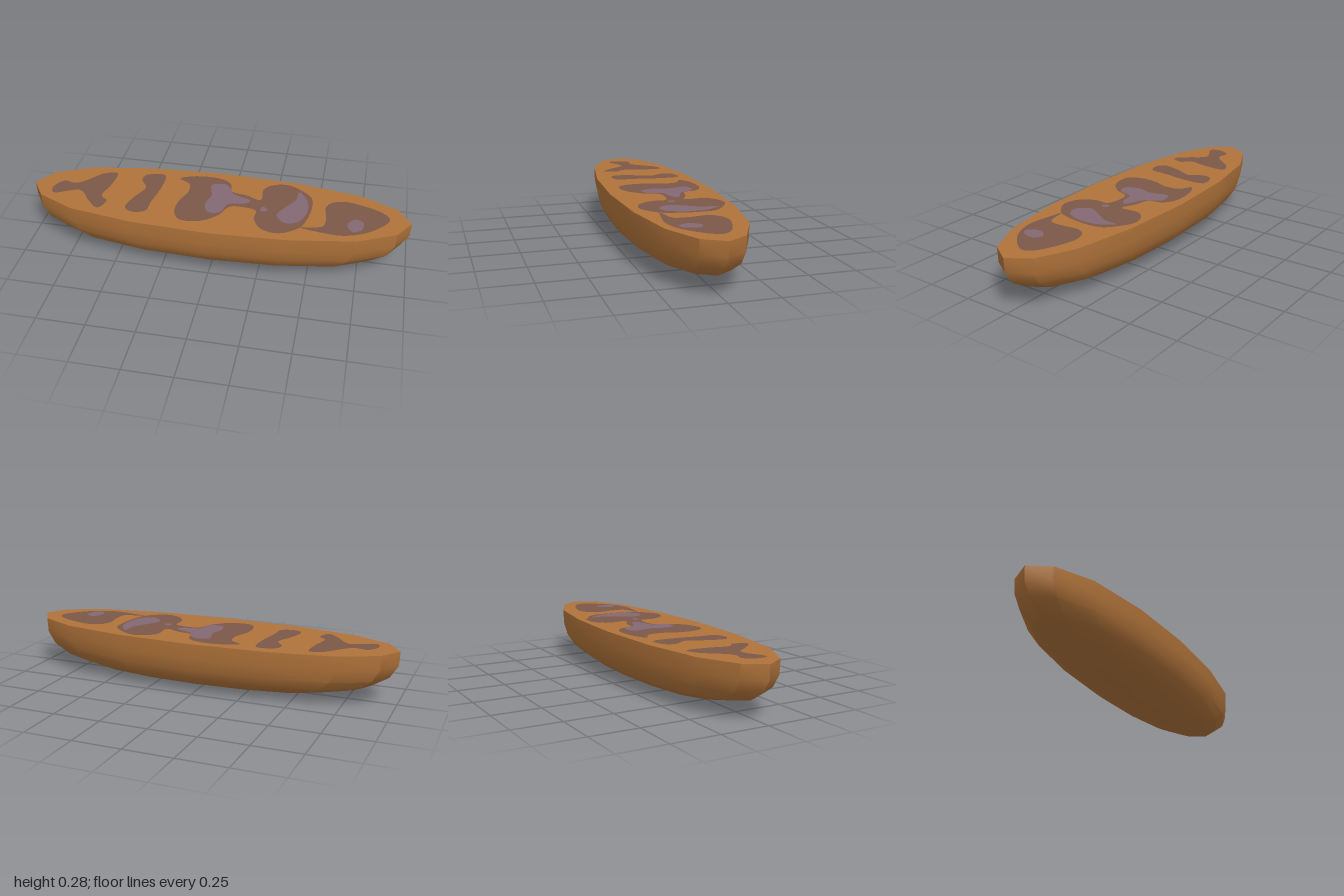
import * as THREE from 'three';
import { toCreasedNormals } from 'three/addons/utils/BufferGeometryUtils.js';

const HEIGHT = 0.275;

// One quarter of the rim, from the pointed tip to the middle of the side
const QUARTER = [[1, 0], [0.93, 0.108], [0.735, 0.2], [0.4, 0.256], [0, 0.275]];

// Hull levels: [height, scale of the rim]
const LEVELS = [[HEIGHT, 1], [0.2, 0.996], [0.135, 0.955], [0.08, 0.863], [0.036, 0.665], [0.01, 0.365], [0, 0]];

// Glaze patches as [x, depth] pairs in hundredths
const DARK_PATCHES = [
  [-85, 4, -79, 3, -75, 5, -69, 12, -66, 15, -59, 17, -59, 5, -61, -6, -57, -10, -60, -17, -66, -12, -74, -3, -87, -8, -89, -3],
  [-43, 18, -33, 20, -32, 7, -34, -6, -35, -15, -42, -17, -46, -14, -44, -4, -40, 6, -44, 13],
  [-24, 18, -16, 22, -2, 22, 4, 18, 6, 11, 14, 9, 22, 6, 22, 16, 26, 21, 34, 23, 42, 19, 48, 13, 49, 2, 47, -9,
    45, -14, 35, -21, 26, -19, 21, -11, 21, -4, 14, -2, 7, -3, 3, -11, -5, -18, -16, -19, -20, -13, -20, -3, -17, 6, -18, 14],
  [58, 10, 65, 13, 75, 11, 86, 6, 89, 1, 84, -7, 75, -14, 65, -17, 54, -16, 45, -14, 56, -11, 57, -3, 56, 5],
];
const LIGHT_PATCHES = [
  [-6, 15, 1, 17, 5, 13, 7, 9, 17, 4, 14, 1, 6, -1, 3, -9, -3, -10, -6, -3, -4, 5],
  [41, 17, 46, 10, 47, -1, 43, -10, 37, -12, 32, -6, 35, 1, 40, 9],
  [72, -2, 76, -4, 75, -11, 71, -13, 68, -7],
  [24, 0, 27, -2, 25, -4, 23, -3],
];

// Mirrors the quarter into a closed sixteen-sided rim
function rimPoints() {
  const half = [...QUARTER, ...QUARTER.slice(0, 4).reverse().map(([x, z]) => [-x, z])];
  return [...half, ...half.slice(1, -1).reverse().map(([x, z]) => [x, -z])];
}

// Rounded underside: the rim shrinking level by level to one point
function hullGeometry(rim) {
  const positions = [], index = [], n = rim.length;
  for (const [y, s] of LEVELS) for (const [x, z] of rim) positions.push(x * s, y, z * s);
  for (let j = 0; j < LEVELS.length - 1; j++) {
    for (let i = 0; i < n; i++) {
      const a = j * n + i, b = j * n + (i + 1) % n;
      index.push(a, b, a + n);
      if (j < LEVELS.length - 2) index.push(b, b + n, a + n);
    }
  }
  const g = new THREE.BufferGeometry();
  g.setAttribute('position', new THREE.Float32BufferAttribute(positions, 3));
  g.setIndex(index);
  return toCreasedNormals(g, THREE.MathUtils.degToRad(31));
}

// Flat upward-facing sheet from an outline
function sheet(points, y) {
  return new THREE.ShapeGeometry(new THREE.Shape(points)).rotateX(-Math.PI / 2).translate(0, y, 0);
}

// Smooth closed outline through a few points
function blob(flat) {
  const points = [];
  for (let i = 0; i < flat.length; i += 2) points.push(new THREE.Vector3(flat[i] / 100, flat[i + 1] / 100, 0));
  const curve = new THREE.CatmullRomCurve3(points, true);
  return curve.getPoints(points.length * 4).slice(0, -1).map((p) => new THREE.Vector2(p.x, p.y));
}

export function createModel() {
  const crust = new THREE.MeshStandardMaterial({ color: 0xb0733a });
  crust.name = 'golden crust';
  const dark = new THREE.MeshStandardMaterial({ color: 0x7b5848 });
  dark.name = 'brown glaze';
  const light = new THREE.MeshStandardMaterial({ color: 0x846873 });
  light.name = 'mauve glaze';

  const model = new THREE.Group();
  model.name = 'boatShapedPastry';
  const add = (name, geometry, material) => {
    const mesh = new THREE.Mesh(geometry, material);
    mesh.name = name;
    model.add(mesh);
  };

  const rim = rimPoints();
  add('roundedUnderside', hullGeometry(rim), crust);
  add('flatTop', sheet(rim.map(([x, z]) => new THREE.Vector2(x, z)), HEIGHT), crust);

  // Painted patches on the top
  DARK_PATCHES.forEach((p, i) => add(`brownPatch${i + 1}`, sheet(blob(p), HEIGHT + 0.0015), dark));
  LIGHT_PATCHES.forEach((p, i) => add(`mauvePatch${i + 1}`, sheet(blob(p), HEIGHT + 0.003), light));
  return model;
}
